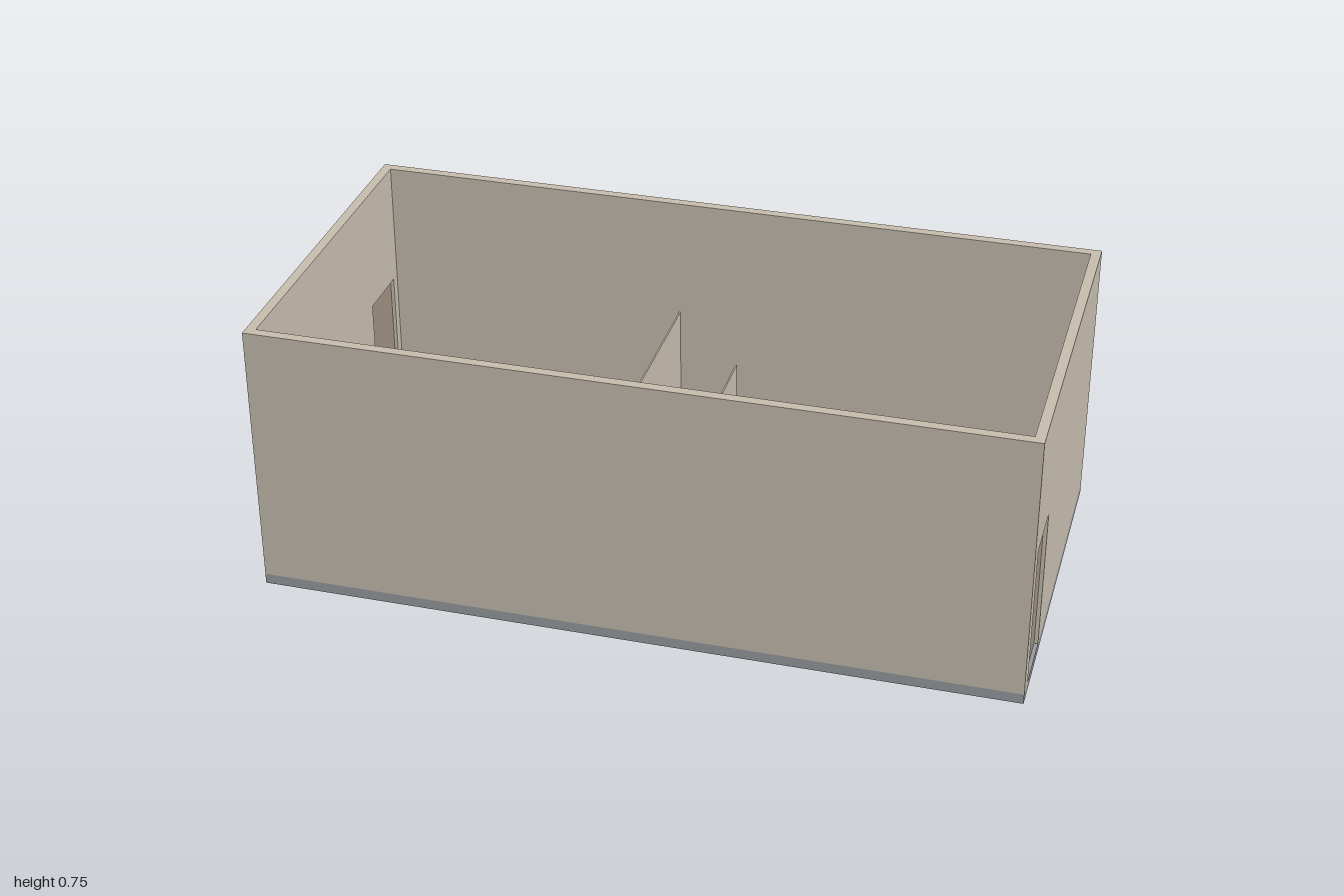
import * as THREE from 'three';

const wallMat = new THREE.MeshStandardMaterial({ name: 'beige wall', color: 0xcac0b1 });
const floorMat = new THREE.MeshStandardMaterial({ name: 'grey floor', color: 0x999ea2 });
const doorMat = new THREE.MeshStandardMaterial({ name: 'brown door', color: 0xa29384 });

const FLOOR = 0.028, TOP = 0.75, WALL = 0.026, DOOR_TOP = 0.418;
const DOOR_NEAR = 0.28, DOOR_FAR = 0.447;

function add(parent, name, geometry, material, x = 0, y = 0, z = 0) {
  const mesh = new THREE.Mesh(geometry, material);
  mesh.name = name;
  mesh.position.set(x, y, z);
  parent.add(mesh);
  return mesh;
}

// box given by its minimum and maximum corners
function box(parent, name, material, [x0, y0, z0], [x1, y1, z1]) {
  return add(parent, name, new THREE.BoxGeometry(x1 - x0, y1 - y0, z1 - z0), material,
    (x0 + x1) / 2, (y0 + y1) / 2, (z0 + z1) / 2);
}

// end wall with door openings; each opening is [z0, z1], in ascending order
function endWall(parent, name, outerX, openings) {
  const shape = new THREE.Shape();
  shape.moveTo(-0.5, FLOOR);
  for (const [a, b] of openings) {
    shape.lineTo(a, FLOOR);
    shape.lineTo(a, DOOR_TOP);
    shape.lineTo(b, DOOR_TOP);
    shape.lineTo(b, FLOOR);
  }
  shape.lineTo(0.5, FLOOR);
  shape.lineTo(0.5, TOP);
  shape.lineTo(-0.5, TOP);
  const geometry = new THREE.ExtrudeGeometry(shape, { depth: WALL, bevelEnabled: false });
  geometry.rotateY(-Math.PI / 2);
  add(parent, name, geometry, wallMat, outerX > 0 ? outerX : outerX + WALL);
  const mid = outerX - Math.sign(outerX) * WALL / 2;
  for (const [a, b] of openings) {
    box(parent, 'door', doorMat, [mid - 0.003, FLOOR, a], [mid + 0.003, DOOR_TOP, b]);
  }
}

function makeDesk() {
  const desk = new THREE.Group();
  desk.name = 'desk';
  const top = 0.165;
  box(desk, 'deskTop', wallMat, [-0.262, top - 0.007, -0.262], [-0.143, top, -0.02]);
  for (const z of [-0.255, -0.033]) {
    box(desk, 'deskSide', wallMat, [-0.255, FLOOR, z], [-0.148, top - 0.007, z + 0.006]);
  }
  box(desk, 'deskBack', wallMat, [-0.155, 0.08, -0.249], [-0.15, top - 0.007, -0.033]);

  // monitor, keyboard and mouse
  box(desk, 'monitor', wallMat, [-0.205, top + 0.022, -0.208], [-0.199, top + 0.085, -0.102]);
  box(desk, 'monitorNeck', wallMat, [-0.199, top, -0.162], [-0.19, top + 0.05, -0.148]);
  box(desk, 'monitorFoot', wallMat, [-0.21, top, -0.175], [-0.183, top + 0.003, -0.135]);
  box(desk, 'keyboard', wallMat, [-0.248, top, -0.192], [-0.226, top + 0.004, -0.118]);
  const mouse = add(desk, 'mouse', new THREE.SphereGeometry(0.006, 12, 8), wallMat, -0.244, top + 0.002, -0.102);
  mouse.scale.set(1.2, 0.5, 0.8);
  return desk;
}

function makeChair() {
  const chair = new THREE.Group();
  chair.name = 'chair';
  box(chair, 'seat', wallMat, [-0.033, 0.082, -0.036], [0.033, 0.094, 0.04]);
  const back = box(chair, 'backrest', wallMat, [-0.03, 0.108, -0.04], [0.03, 0.178, -0.032]);
  back.rotation.x = -0.08;
  box(chair, 'backSupport', wallMat, [-0.006, 0.086, -0.039], [0.006, 0.13, -0.034]);
  add(chair, 'post', new THREE.CylinderGeometry(0.005, 0.005, 0.05, 12), wallMat, 0, 0.06, 0);
  // five-armed base with castors
  for (let i = 0; i < 5; i++) {
    const arm = new THREE.Group();
    arm.name = 'baseArm';
    arm.rotation.y = i * Math.PI * 2 / 5;
    box(arm, 'spoke', wallMat, [-0.003, 0.036, 0], [0.003, 0.041, 0.034]);
    add(arm, 'castor', new THREE.SphereGeometry(0.004, 10, 6), wallMat, 0, FLOOR + 0.004, 0.032);
    chair.add(arm);
  }
  chair.position.set(-0.317, 0, -0.125);
  chair.rotation.y = 0.74;
  return chair;
}

export function createModel() {
  const room = new THREE.Group();
  room.name = 'room';

  // floor slab and outer walls
  box(room, 'floor', floorMat, [-1, 0, -0.5], [1, FLOOR, 0.5]);
  const inner = 1 - WALL;
  box(room, 'backWall', wallMat, [-inner, FLOOR, -0.5], [inner, TOP, -0.5 + WALL]);
  box(room, 'frontWall', wallMat, [-inner, FLOOR, 0.5 - WALL], [inner, TOP, 0.5]);
  const frontDoor = [DOOR_NEAR, DOOR_FAR], backDoor = [-DOOR_FAR, -DOOR_NEAR];
  endWall(room, 'leftWall', 1, [frontDoor]);
  endWall(room, 'rightWall', -1, [backDoor, frontDoor]);

  // thin low partitions
  box(room, 'deskPartition', wallMat, [-0.142, FLOOR, -0.5 + WALL], [-0.138, DOOR_TOP, 0.133]);
  box(room, 'sidePartition', wallMat, [0.081, FLOOR, -0.227], [0.085, DOOR_TOP, 0.133]);
  box(room, 'longPartition', wallMat, [0.085, FLOOR, 0.129], [inner, DOOR_TOP, 0.133]);

  room.add(makeDesk(), makeChair());
  return room;
}
